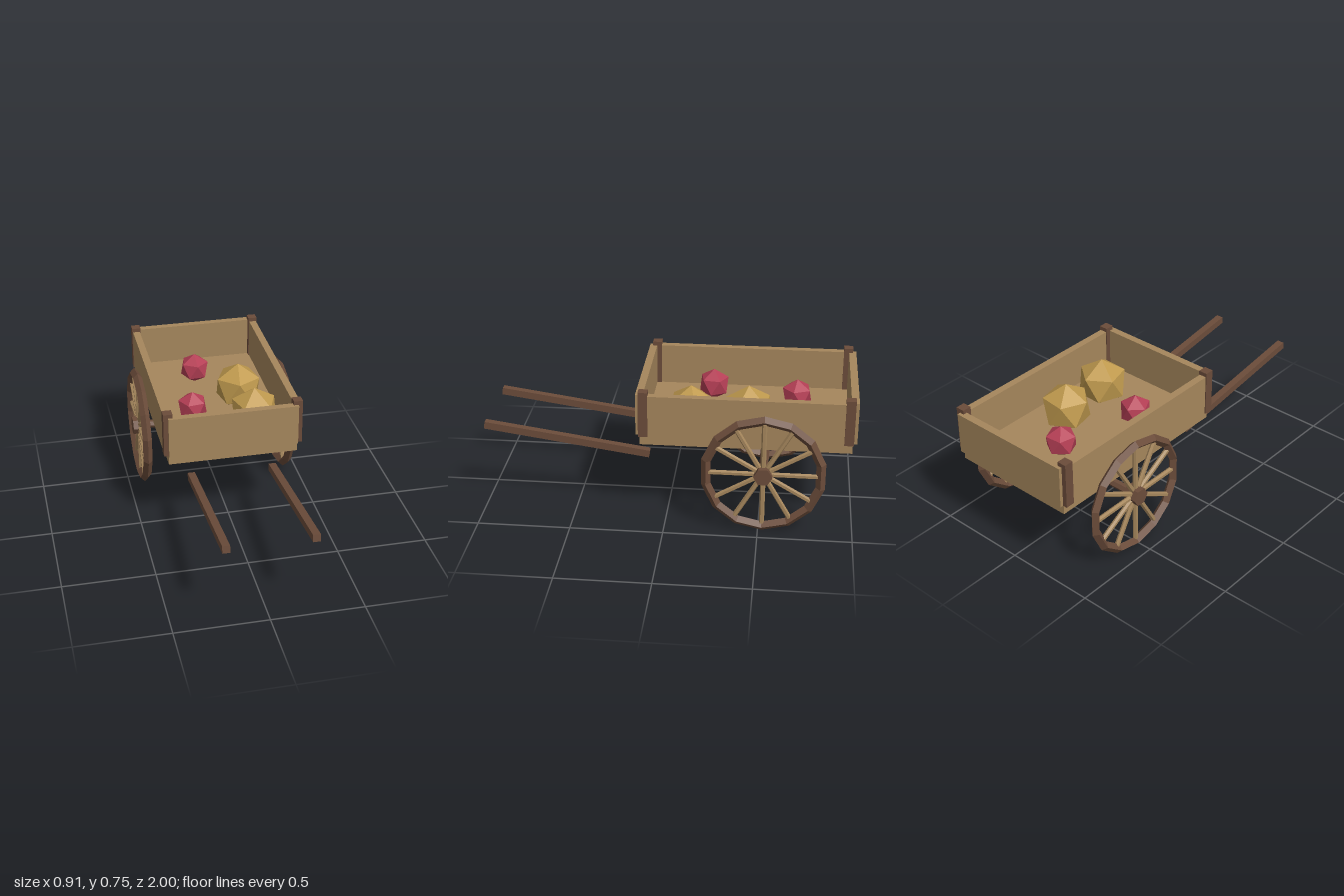
import * as THREE from 'three';

const mat = (name, color) => {
  const m = new THREE.MeshStandardMaterial({ color, flatShading: true });
  m.name = name;
  return m;
};

export function createModel() {
  const tan = mat('tan planks', 0xa5865c);
  const brown = mat('dark wood', 0x6b4c3a);
  const gold = mat('golden produce', 0xc09a4e);
  const red = mat('red produce', 0xb53f55);

  const cart = new THREE.Group();
  cart.name = 'handcart';

  const add = (parent, name, geometry, material, x, y, z) => {
    const mesh = new THREE.Mesh(geometry, material);
    mesh.name = name;
    mesh.position.set(x, y, z);
    parent.add(mesh);
    return mesh;
  };
  const box = (name, material, w, h, d, x, y, z) =>
    add(cart, name, new THREE.BoxGeometry(w, h, d), material, x, y, z);

  // Bed and its four boards
  const midZ = -0.42;
  box('bed', tan, 0.71, 0.06, 1.115, 0, 0.48, midZ);
  box('frontBoard', tan, 0.71, 0.23, 0.04, 0, 0.62, midZ + 0.558);
  box('backBoard', tan, 0.71, 0.23, 0.04, 0, 0.62, midZ - 0.56);

  // Side boards, corner posts and pull shafts, mirrored
  for (const s of [1, -1]) {
    const side = s > 0 ? 'left' : 'right';
    box(side + 'Board', tan, 0.04, 0.23, 1.115, s * 0.355, 0.62, midZ);
    box(side + 'FrontPost', brown, 0.05, 0.252, 0.05, s * 0.355, 0.631, midZ + 0.537);
    box(side + 'BackPost', brown, 0.05, 0.252, 0.05, s * 0.355, 0.631, midZ - 0.537);
    const shaft = box(side + 'Shaft', brown, 0.04, 0.04, 0.908, s * 0.227, 0.4025, 0.5475);
    shaft.rotation.x = -0.1425;
  }

  // Six-sided rod lying along x, with corners pointing to the front and back
  const rod = (radius, length) =>
    new THREE.CylinderGeometry(radius, radius, length, 6).rotateZ(Math.PI / 2);

  // Axle and wheels
  const axleY = 0.337, axleZ = -0.52;
  add(cart, 'axle', rod(0.024, 0.83), brown, 0, axleY, axleZ);

  const rimGeometry = new THREE.TorusGeometry(0.308, 0.026, 4, 14)
    .rotateZ(Math.PI / 2).rotateY(Math.PI / 2);
  const spokeGeometry = new THREE.CylinderGeometry(0.014, 0.014, 0.27, 6).translate(0, 0.155, 0);
  for (const s of [1, -1]) {
    const wheel = new THREE.Group();
    wheel.name = s > 0 ? 'leftWheel' : 'rightWheel';
    wheel.position.set(s * 0.416, axleY, axleZ);
    add(wheel, 'rim', rimGeometry, brown, 0, 0, 0);
    add(wheel, 'hub', rod(0.05, 0.08), brown, 0, 0, 0);
    for (let i = 0; i < 12; i++) {
      add(wheel, 'spoke', spokeGeometry, tan, 0, 0, 0).rotation.x = (i * Math.PI) / 6;
    }
    cart.add(wheel);
  }

  // Produce: faceted balls standing on a corner, some sunk into the bed
  const tilt = Math.atan(2 / (1 + Math.sqrt(5)));
  const produce = (name, material, r, x, y, z, turn) =>
    add(cart, name, new THREE.IcosahedronGeometry(r, 0).rotateZ(tilt).rotateY(turn), material, x, y, z);
  produce('goldProduce', gold, 0.14, 0.15, 0.582, -0.425, 0.2);
  produce('goldProduce', gold, 0.14, 0.175, 0.582, -0.12, 0.9);
  produce('redProduce', red, 0.088, -0.055, 0.592, -0.68, 0.4);
  produce('redProduce', red, 0.088, -0.155, 0.592, -0.22, 1.1);

  return cart;
}
